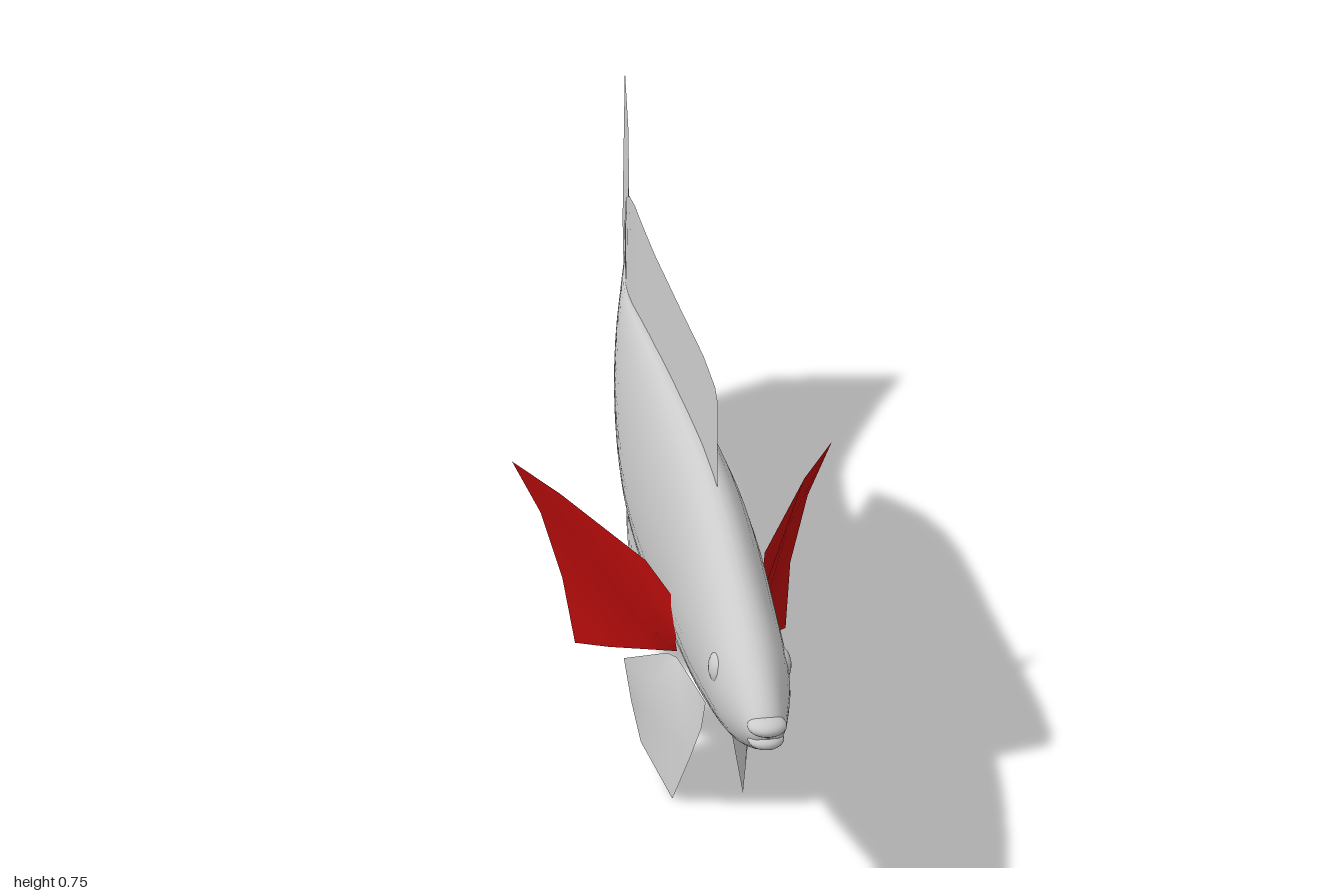
import * as THREE from 'three';

const V = (x, y, z) => new THREE.Vector3(x, y, z);
const grey = new THREE.MeshStandardMaterial({ color: 0xcccccc });
const greySheet = new THREE.MeshStandardMaterial({ color: 0xcccccc, side: THREE.DoubleSide });
const redSheet = new THREE.MeshStandardMaterial({ color: 0xb80c0c, side: THREE.DoubleSide });

// Sideways sway of the midline, sampled at evenly spaced z from 1 to -1
const sway = new THREE.CatmullRomCurve3(
  [0.013, 0.013, 0.012, -0.003, -0.012, -0.004, 0.027, 0.07, 0.092].map((x, i) => V(x, 0, 1 - i / 4)),
  false, 'catmullrom');
const midX = z => sway.getPoint(THREE.MathUtils.clamp((1 - z) / 2, 0, 1)).x;

// Smooth surface through rows of points; closed joins each row into a ring
function skin(name, rows, material, closed = false) {
  const n = rows[0].length, index = [];
  for (let i = 0; i < rows.length - 1; i++) {
    for (let j = 0; j < (closed ? n : n - 1); j++) {
      const k = (j + 1) % n;
      const a = i * n + j, b = a + n, c = i * n + k, d = c + n;
      index.push(a, b, c, b, d, c);
    }
  }
  const geometry = new THREE.BufferGeometry().setFromPoints(rows.flat());
  geometry.setIndex(index);
  geometry.computeVertexNormals();
  const mesh = new THREE.Mesh(geometry, material);
  mesh.name = name;
  return mesh;
}

// Body stations: z, top, bottom, half width
const stations = [
  [0.985, 0.395, 0.385, 0.003], [0.975, 0.415, 0.367, 0.023], [0.93, 0.447, 0.337, 0.038],
  [0.86, 0.48, 0.308, 0.053], [0.75, 0.515, 0.274, 0.06], [0.6, 0.552, 0.235, 0.065],
  [0.4, 0.582, 0.209, 0.064], [0.2, 0.593, 0.197, 0.055], [0, 0.585, 0.209, 0.043],
  [-0.2, 0.553, 0.24, 0.027], [-0.35, 0.529, 0.259, 0.015], [-0.44, 0.524, 0.262, 0.008],
  [-0.5, 0.525, 0.257, 0.001],
];

function body() {
  const heights = new THREE.CatmullRomCurve3(stations.map(s => V(s[0], s[1], s[2])), false, 'catmullrom');
  const widths = new THREE.CatmullRomCurve3(stations.map(s => V(s[0], s[3], 0)), false, 'catmullrom');
  const rows = [];
  for (let i = 0; i <= 60; i++) {
    const h = heights.getPoint(i / 60), w = Math.max(widths.getPoint(i / 60).y, 0.001);
    const row = [];
    for (let j = 0; j < 32; j++) {
      const a = j / 32 * Math.PI * 2;
      row.push(V(midX(h.x) + w * Math.cos(a), (h.y + h.z) / 2 + (h.y - h.z) / 2 * Math.sin(a), h.x));
    }
    rows.push(row);
  }
  return skin('body', rows, grey, true);
}

// Tail: a swaying sheet whose rear edge comes to a blunt point
function tailFin() {
  const edge = [[-0.42, 0.522, 0.264], [-0.5, 0.525, 0.257], [-0.56, 0.535, 0.245], [-0.63, 0.56, 0.217],
    [-0.7, 0.59, 0.18], [-0.8, 0.642, 0.13], [-0.91, 0.72, 0.06]];
  const rows = edge.map(([z, top, bottom]) => {
    const row = [];
    for (let j = 0; j <= 8; j++) {
      const v = 1 - j / 4;
      const zz = -0.42 + (z + 0.42) * (1 + (1 - Math.abs(v)) * 0.09 / 0.49);
      row.push(V(midX(zz), (top + bottom) / 2 + v * (top - bottom) / 2, zz));
    }
    return row;
  });
  return skin('tailFin', rows, greySheet);
}

// Upright fin from pairs of root and rim points: [root z, root y, rim z, rim y]
function uprightFin(name, pairs) {
  const rows = pairs.map(([z0, y0, z1, y1]) => [0, 1 / 3, 2 / 3, 1].map(t => {
    const z = z0 + (z1 - z0) * t;
    return V(midX(z), y0 + (y1 - y0) * t, z);
  }));
  return skin(name, rows, greySheet);
}

// Paired fin: points are [offset from centre, y, z, centre x]
function pairedFin(name, rows, side, material) {
  return skin(name, rows.map(r => r.map(([d, y, z, c]) => V(c + side * d, y, z))), material);
}

const pectoralRows = [
  [[0.06, 0.375, 0.57, 0.017], [0.09, 0.402, 0.47, 0.012], [0.19, 0.444, 0.31, 0.003], [0.252, 0.466, 0.23, 0]],
  [[0.062, 0.335, 0.555, 0.017], [0.094, 0.345, 0.465, 0.012], [0.165, 0.37, 0.32, 0.003], [0.211, 0.385, 0.25, 0]],
  [[0.06, 0.295, 0.535, 0.017], [0.09, 0.28, 0.45, 0.012], [0.14, 0.278, 0.34, 0.003], [0.181, 0.28, 0.272, 0]],
  [[0.053, 0.264, 0.505, 0.017], [0.083, 0.235, 0.44, 0.012], [0.125, 0.2, 0.36, 0.005], [0.168, 0.176, 0.295, 0.003]],
];
const c = 0.0135;
const pelvicRows = [
  [[0.018, 0.215, 0.58, c], [0.022, 0.165, 0.568, c], [0.034, 0.105, 0.545, c], [0.055, 0.004, 0.5, c]],
  [[0.026, 0.212, 0.51, c], [0.042, 0.165, 0.495, c], [0.055, 0.1, 0.475, c], [0.07, 0.019, 0.44, c]],
  [[0.038, 0.212, 0.43, c], [0.07, 0.165, 0.41, c], [0.08, 0.1, 0.395, c], [0.086, 0.035, 0.375, c]],
  [[0.05, 0.21, 0.41, c], [0.111, 0.181, 0.365, c], [0.1, 0.105, 0.37, c], [0.086, 0.035, 0.375, c]],
];

function blob(name, x, y, z, sx, sy, sz) {
  const mesh = new THREE.Mesh(new THREE.SphereGeometry(1, 20, 14), grey);
  mesh.name = name;
  mesh.position.set(x, y, z);
  mesh.scale.set(sx, sy, sz);
  return mesh;
}

export function createModel() {
  const fish = new THREE.Group();
  fish.name = 'fish';
  fish.add(body(), tailFin());

  fish.add(uprightFin('dorsalFin', [
    [0.56, 0.54, 0.56, 0.69], [0.53, 0.55, 0.535, 0.707], [0.45, 0.56, 0.45, 0.72], [0.3, 0.57, 0.3, 0.733],
    [0.1, 0.575, 0.1, 0.745], [0, 0.57, -0.02, 0.75], [-0.08, 0.56, -0.11, 0.749], [-0.14, 0.55, -0.2, 0.733],
    [-0.19, 0.54, -0.28, 0.7], [-0.23, 0.535, -0.35, 0.652], [-0.26, 0.53, -0.41, 0.592], [-0.3, 0.53, -0.36, 0.565],
  ]));
  fish.add(uprightFin('analFin', [
    [0.145, 0.22, 0.145, 0.115], [0.12, 0.22, 0.123, 0.073], [0.09, 0.22, 0.08, 0.042], [0.02, 0.225, 0, 0.023],
    [-0.05, 0.23, -0.07, 0.018], [-0.14, 0.245, -0.2, 0.036], [-0.2, 0.255, -0.3, 0.072],
    [-0.26, 0.265, -0.38, 0.13], [-0.32, 0.27, -0.44, 0.19], [-0.38, 0.27, -0.475, 0.235],
  ]));

  for (const [label, side] of [['left', 1], ['right', -1]]) {
    fish.add(pairedFin(label + 'PectoralFin', pectoralRows, side, redSheet));
    fish.add(pairedFin(label + 'PelvicFin', pelvicRows, side, greySheet));
    fish.add(blob(label + 'Eye', 0.013 + side * 0.045, 0.418, 0.84, 0.013, 0.023, 0.025));
  }

  // Lips with a slit between them
  fish.add(blob('upperLip', 0.013, 0.4, 0.975, 0.027, 0.013, 0.025));
  fish.add(blob('lowerLip', 0.013, 0.375, 0.967, 0.025, 0.012, 0.024));
  return fish;
}
